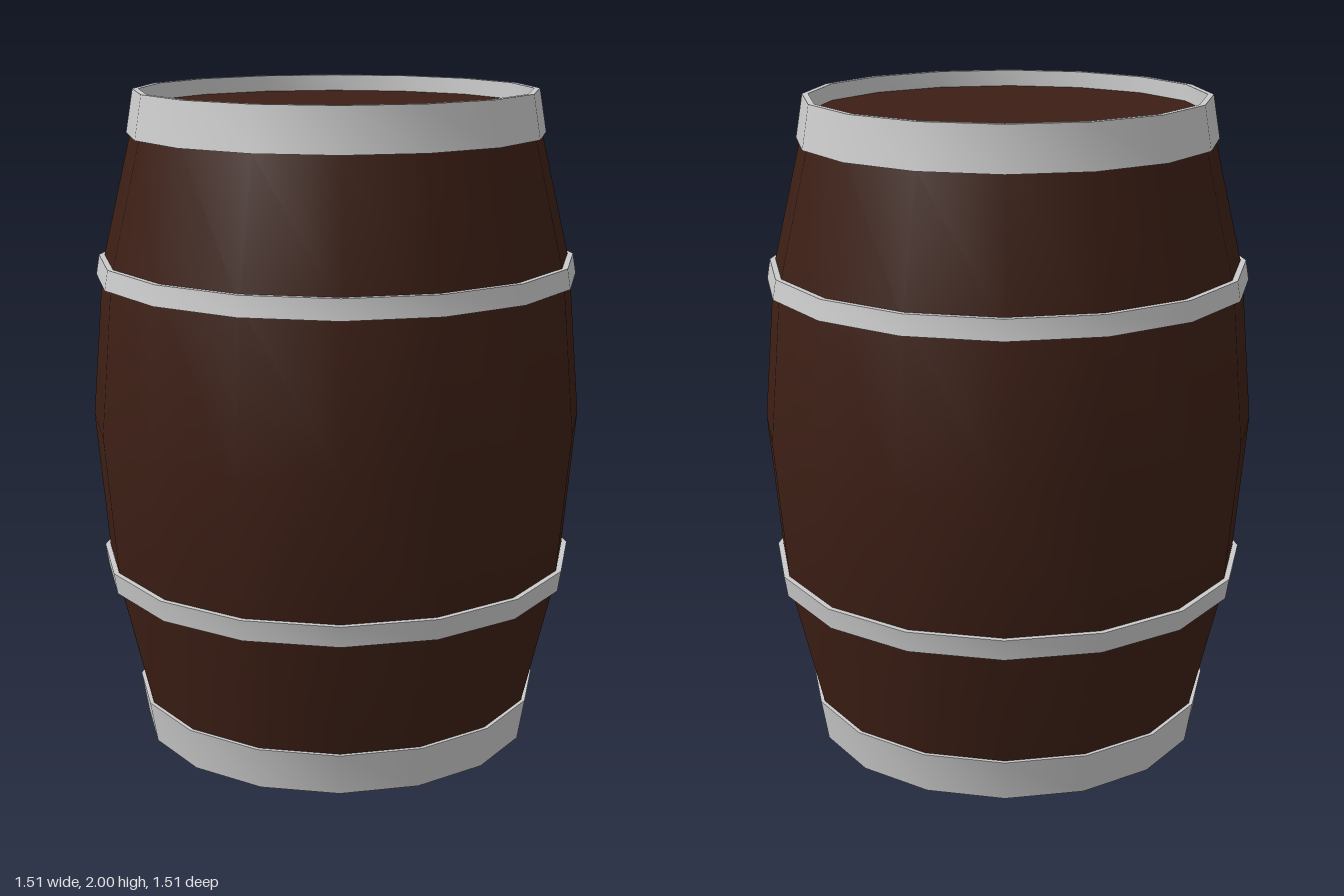
import * as THREE from 'three';
import { toCreasedNormals } from 'three/addons/utils/BufferGeometryUtils.js';

const SIDES = 16;
const LID_Y = 1.95;

// Turn a profile of [radius, height] pairs, listed upward on the outside.
function turned(name, profile, material) {
  const points = profile.map(([r, y]) => new THREE.Vector2(r, y));
  const geometry = toCreasedNormals(new THREE.LatheGeometry(points, SIDES), 0.7);
  const mesh = new THREE.Mesh(geometry, material);
  mesh.name = name;
  return mesh;
}

// A closed metal ring, wider at one edge than at the other.
function hoop(name, y0, y1, rBottom, rTop, inBottom, inTop, material) {
  const profile = [[inBottom, y0], [rBottom, y0], [rTop, y1], [inTop, y1], [inBottom, y0]];
  return turned(name, profile, material);
}

// A flat round end closing the barrel.
function end(name, radius, y, tilt, material) {
  const mesh = new THREE.Mesh(new THREE.CircleGeometry(radius, SIDES), material);
  mesh.name = name;
  mesh.rotation.x = tilt;
  mesh.position.y = y;
  return mesh;
}

export function createModel() {
  const barrel = new THREE.Group();
  barrel.name = 'barrel';
  const wood = new THREE.MeshStandardMaterial({ color: 0x3d1f15 });
  const metal = new THREE.MeshStandardMaterial({ color: 0xcccccc });

  // Bulging staves and the two ends
  barrel.add(
    turned('staves', [
      [0.595, 0.003], [0.62, 0.13], [0.715, 0.53], [0.755, 1],
      [0.715, 1.47], [0.62, 1.87], [0.602, LID_Y],
    ], wood),
    end('lid', 0.602, LID_Y, -Math.PI / 2, wood),
    end('floor', 0.6, 0.001, Math.PI / 2, wood),
  );

  // Wide end hoops; the upper one stands proud of the lid
  barrel.add(
    hoop('bottomHoop', 0, 0.13, 0.61, 0.632, 0.597, 0.61, metal),
    hoop('topHoop', 1.87, 2, 0.632, 0.61, 0.588, 0.592, metal),
  );

  // Narrow hoops around the belly
  barrel.add(
    hoop('lowerHoop', 0.505, 0.57, 0.725, 0.735, 0.70, 0.71, metal),
    hoop('upperHoop', 1.44, 1.5, 0.735, 0.725, 0.71, 0.70, metal),
  );

  return barrel;
}
